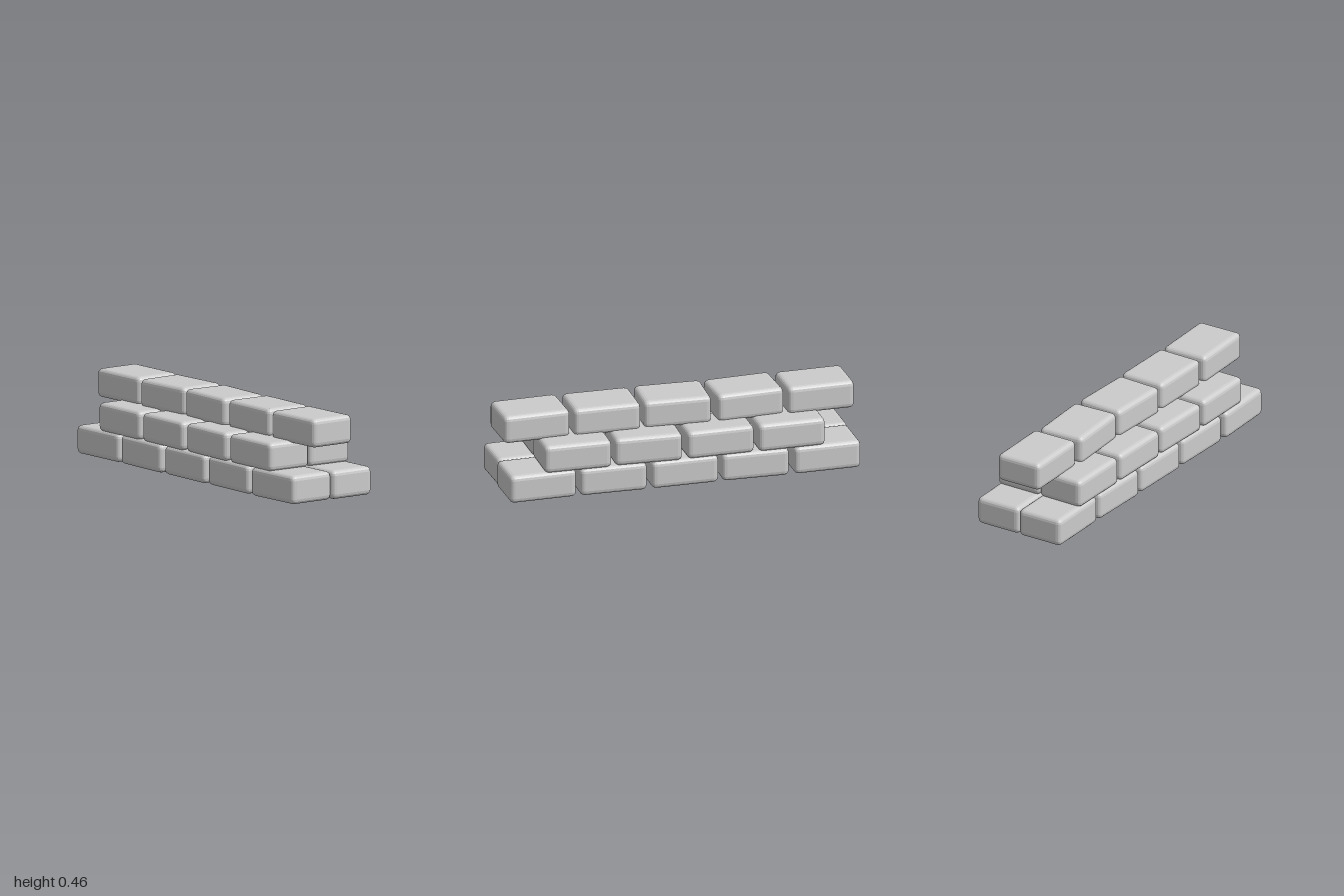
import * as THREE from 'three';
import { RoundedBoxGeometry } from 'three/addons/geometries/RoundedBoxGeometry.js';

const PITCH = 0.4;

// Each course: height of centre, depth of centre, and the slight turn (degrees) of every brick
const COURSES = [
  { name: 'bottomFront', y: 0.08, z: 0.136, turns: [1, -1, -0.8, -0.8, 2] },
  { name: 'bottomBack', y: 0.08, z: -0.136, turns: [1, -1.2, 0.5, -0.5, 1.5] },
  { name: 'middleFront', y: 0.232, z: 0.136, turns: [0, -0.6, -1.4, 0.2] },
  { name: 'middleBack', y: 0.232, z: -0.136, turns: [0.6, 0.7, -1.8, -0.5] },
  { name: 'top', y: 0.377, z: -0.003, turns: [1.2, 3.2, -2, -0.3, 2] },
];

export function createModel() {
  const wall = new THREE.Group();
  wall.name = 'brickWall';

  // One bevelled brick shared by all courses
  const brick = new RoundedBoxGeometry(0.376, 0.158, 0.27, 2, 0.028);
  const material = new THREE.MeshStandardMaterial({ color: 0xcccccc, flatShading: true });

  for (const { name, y, z, turns } of COURSES) {
    const course = new THREE.Group();
    course.name = `${name}Course`;
    turns.forEach((turn, i) => {
      const mesh = new THREE.Mesh(brick, material);
      mesh.name = `${name}Brick${i + 1}`;
      mesh.position.set((i - (turns.length - 1) / 2) * PITCH - 0.004, y, z);
      mesh.rotation.y = THREE.MathUtils.degToRad(turn);
      course.add(mesh);
    });
    wall.add(course);
  }
  return wall;
}
